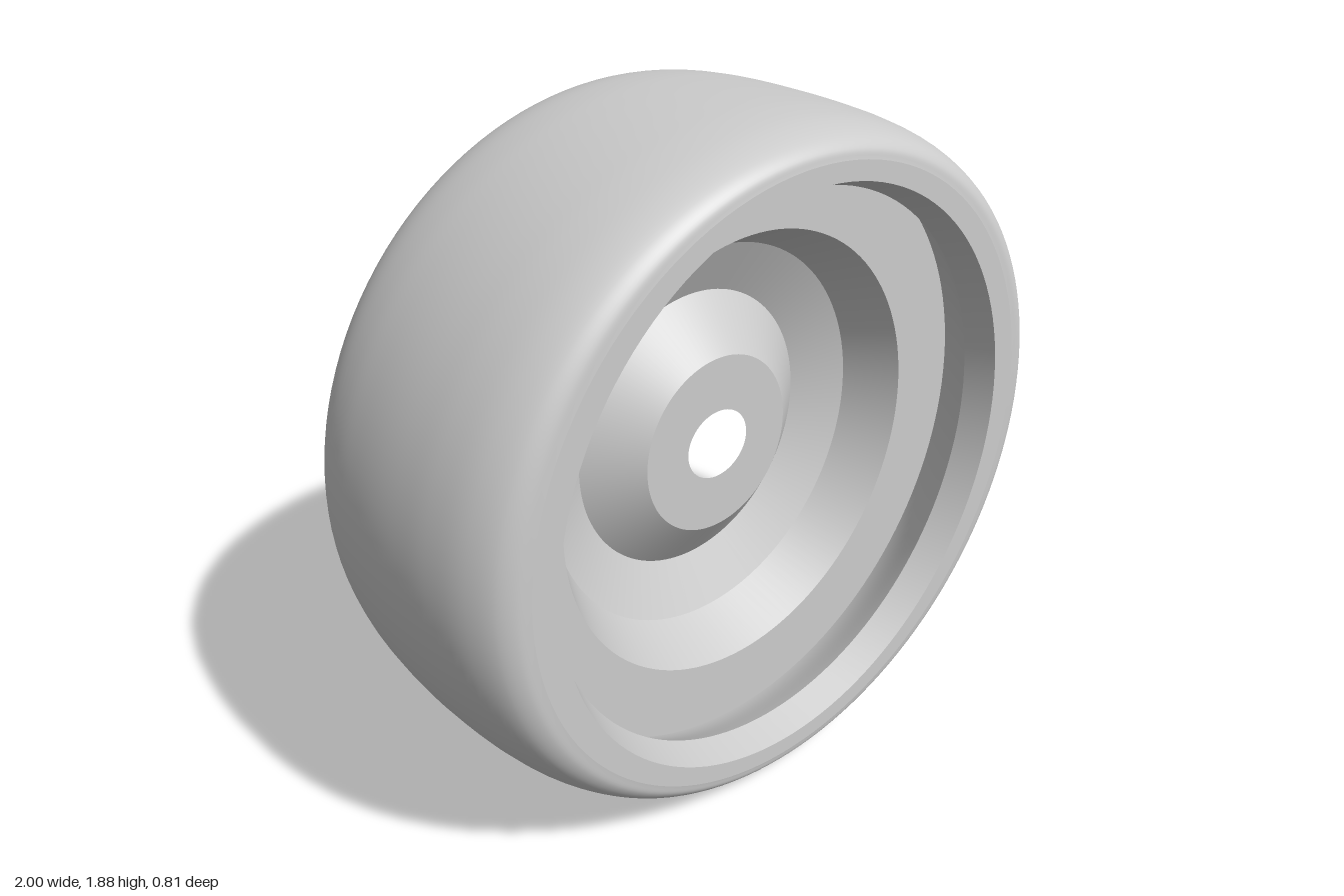
import * as THREE from 'three';

const SEGMENTS = 128;
const CENTRE_Y = 0.9425;
const material = new THREE.MeshStandardMaterial({ color: 0xcccccc, side: THREE.DoubleSide });

// Smooth skin through elliptical rings, each given as [half width, half height, z]
function ringSkin(rings) {
  const positions = [], indices = [];
  rings.forEach(([rx, ry, z], i) => {
    for (let j = 0; j < SEGMENTS; j++) {
      const t = (j / SEGMENTS) * Math.PI * 2;
      positions.push(rx * Math.cos(t), ry * Math.sin(t), z);
      if (i === rings.length - 1) continue;
      const k = (j + 1) % SEGMENTS;
      const a = i * SEGMENTS + j, b = i * SEGMENTS + k;
      indices.push(a, b, a + SEGMENTS, b, b + SEGMENTS, a + SEGMENTS);
    }
  });
  const geometry = new THREE.BufferGeometry();
  geometry.setAttribute('position', new THREE.Float32BufferAttribute(positions, 3));
  geometry.setIndex(indices);
  geometry.computeVertexNormals();
  return geometry;
}

// Rounds a coarse profile with a spline
function smoothRings(rings, count) {
  const curve = new THREE.CatmullRomCurve3(rings.map((r) => new THREE.Vector3(...r)), false, 'centripetal');
  return curve.getPoints(count).map((p) => p.toArray());
}

const flipZ = (rings) => rings.map(([rx, ry, z]) => [rx, ry, -z]).reverse();
// Full profile from its front half, which starts on the middle plane
const mirrored = (half) => [...flipZ(half.slice(1)), ...half];

export function createModel() {
  const model = new THREE.Group();
  const add = (parent, name, rings) => {
    const mesh = new THREE.Mesh(ringSkin(rings), material);
    mesh.name = name;
    parent.add(mesh);
  };

  // Tyre: rounded tread, flat sidewalls, tapered lips and hollow inside
  const tyre = new THREE.Group();
  tyre.name = 'tyre';
  const tread = [
    [1, 0.942, 0], [0.996, 0.941, 0.1], [0.985, 0.937, 0.2], [0.96, 0.925, 0.3],
    [0.92, 0.903, 0.37], [0.88, 0.88, 0.398], [0.84, 0.855, 0.405],
  ];
  add(tyre, 'tread', smoothRings(mirrored(tread), 60));

  const sidewall = [[0.84, 0.855, 0.405], [0.765, 0.805, 0.405]];
  const lip = [[0.765, 0.805, 0.405], [0.735, 0.775, 0.32]];
  add(tyre, 'frontSidewall', sidewall);
  add(tyre, 'backSidewall', flipZ(sidewall));
  add(tyre, 'frontLip', lip);
  add(tyre, 'backLip', flipZ(lip));

  const inside = [[0.85, 0.875, 0], [0.84, 0.865, 0.1], [0.805, 0.84, 0.2], [0.735, 0.775, 0.32]];
  add(tyre, 'tyreInside', smoothRings(mirrored(inside), 40).reverse());

  // Wheel disc: stepped sheet with sharp edges, raised hub and axle hole
  const disc = new THREE.Group();
  disc.name = 'wheelDisc';
  const steps = [
    [0.805, 0.84, 0.19], [0.6, 0.632, 0.19], [0.527, 0.555, 0.04],
    [0.385, 0.405, -0.035], [0.246, 0.258, 0.075], [0.105, 0.1, 0.075],
  ];
  const names = ['discFlange', 'discStep', 'discDish', 'hubCone', 'hubFace'];
  names.forEach((name, i) => add(disc, name, [steps[i], steps[i + 1]]));

  model.add(tyre, disc);
  model.children.forEach((part) => { part.position.y = CENTRE_Y; });
  return model;
}
